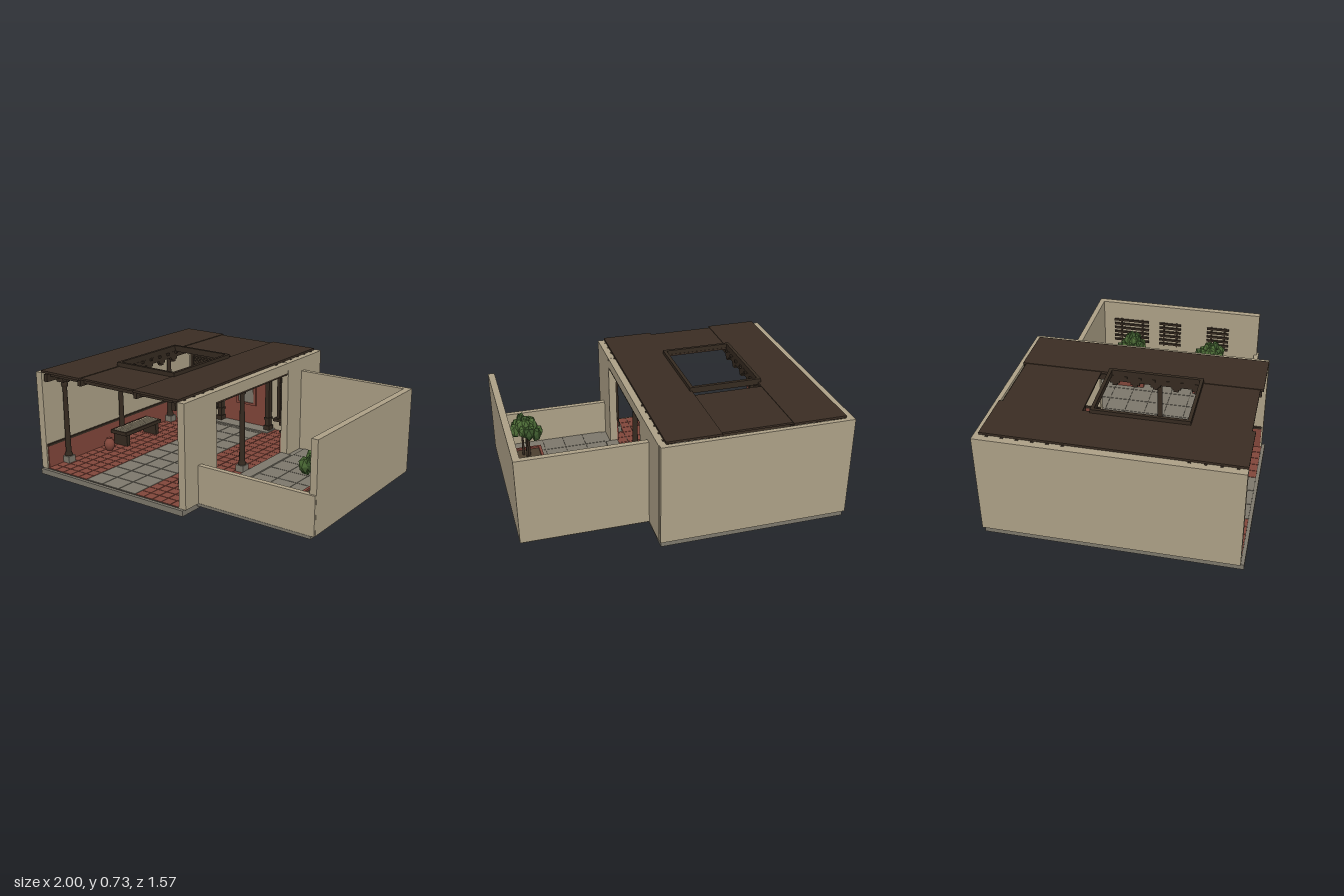
import * as THREE from 'three';
import { mergeGeometries } from 'three/addons/utils/BufferGeometryUtils.js';

const mat = (name, color, flat = false) => {
  const m = new THREE.MeshStandardMaterial({ color, flatShading: flat });
  m.name = name;
  return m;
};

// Box geometry from its limits
const boxGeo = (x0, x1, y0, y1, z0, z1) =>
  new THREE.BoxGeometry(x1 - x0, y1 - y0, z1 - z0).translate((x0 + x1) / 2, (y0 + y1) / 2, (z0 + z1) / 2);

export function createModel() {
  const root = new THREE.Group();
  root.name = 'courtyardHouse';
  const plaster = mat('plaster', 0xaca086);
  const wood = mat('darkWood', 0x352a20);
  const roofing = mat('roofing', 0x3a2d23);
  const terracotta = mat('terracotta', 0x81463a);
  const stone = mat('stone', 0x7c776b);
  const grout = mat('grout', 0x504b42);
  const screenBack = mat('screenShade', 0x4c4030);
  const leaf = mat('leaf', 0x4b6a35, true);
  const leafDark = mat('darkLeaf', 0x3a552b, true);

  const add = (name, material, geos, parent = root) => {
    const mesh = new THREE.Mesh(Array.isArray(geos) ? mergeGeometries(geos) : geos, material);
    mesh.name = name;
    parent.add(mesh);
    return mesh;
  };
  const box = (name, material, ...lim) => add(name, material, boxGeo(...lim));

  // Foundations
  box('houseBase', stone, -0.99, 0.195, 0, 0.036, -0.773, 0.785);
  box('courtyardBase', stone, 0.195, 0.98, 0.02, 0.038, -0.533, 0.645);

  // Tiled floors: a grout sheet with thin tiles on it
  const tiles = (name, material, x0, x1, z0, z1, nx, nz, gap) => {
    box(name + 'Grout', grout, x0, x1, 0.034, 0.04, z0, z1);
    const geos = [];
    const w = (x1 - x0) / nx, d = (z1 - z0) / nz;
    for (let i = 0; i < nx; i++)
      for (let j = 0; j < nz; j++)
        geos.push(boxGeo(x0 + i * w + gap, x0 + (i + 1) * w - gap, 0.039, 0.043, z0 + j * d + gap, z0 + (j + 1) * d - gap));
    add(name + 'Tiles', material, geos);
  };
  tiles('leftAisle', terracotta, -0.95, -0.6, -0.755, 0.765, 5, 22, 0.002);
  tiles('centralAisle', stone, -0.6, -0.19, -0.755, 0.765, 3, 11, 0.003);
  tiles('rightAisle', terracotta, -0.19, 0.155, -0.755, 0.765, 5, 22, 0.002);
  tiles('courtyard', stone, 0.24, 0.955, -0.52, 0.61, 5, 8, 0.002);
  box('threshold', stone, 0.155, 0.24, 0.036, 0.05, -0.35, 0.455);

  // House walls; the side wall has a wide opening to the courtyard
  box('backWall', plaster, -1, 0.2, 0.036, 0.69, -0.785, -0.755);
  box('closedSideWall', plaster, -1, -0.95, 0.036, 0.69, -0.755, 0.765);
  box('openSideWallFront', plaster, 0.155, 0.205, 0.036, 0.69, 0.455, 0.765);
  box('openSideWallBack', plaster, 0.155, 0.205, 0.036, 0.69, -0.755, -0.35);
  box('openingLintel', plaster, 0.156, 0.204, 0.622, 0.689, -0.35, 0.455);
  box('openingBeam', wood, 0.16, 0.2, 0.608, 0.622, -0.35, 0.455);

  // Courtyard walls
  box('courtyardBackWall', plaster, 0.2, 1, 0.038, 0.6, -0.555, -0.52);
  box('courtyardSideWall', plaster, 0.957, 1, 0.038, 0.6, -0.52, 0.63);
  box('courtyardFrontWall', plaster, 0.2, 0.999, 0.038, 0.28, 0.61, 0.643);

  // Wainscots with a wooden rail
  const wainscot = (x, s, z0, z1) => {
    const a = Math.min(x, x + s * 0.008), b = Math.max(x, x + s * 0.008);
    const c = Math.min(x, x + s * 0.014), d = Math.max(x, x + s * 0.014);
    box('wainscot', terracotta, a, b, 0.04, 0.19, z0, z1);
    box('wainscotRail', wood, c, d, 0.19, 0.204, z0, z1);
  };
  wainscot(-0.95, 1, -0.755, 0.755);
  wainscot(0.155, -1, 0.455, 0.755);
  wainscot(0.155, -1, -0.755, -0.35);
  box('courtyardWainscot', terracotta, 0.947, 0.957, 0.04, 0.2, -0.52, 0.61);

  // Roof slabs around the skylight
  box('leftRoof', roofing, -0.953, -0.618, 0.692, 0.706, -0.755, 0.765);
  box('rightRoof', roofing, -0.177, 0.162, 0.692, 0.706, -0.755, 0.765);
  box('frontRoof', roofing, -0.618, -0.177, 0.69, 0.702, 0.375, 0.745);
  box('backRoof', roofing, -0.618, -0.177, 0.69, 0.702, -0.735, -0.245);

  // Skylight curb
  add('skylightCurb', wood, [
    boxGeo(-0.636, -0.615, 0.69, 0.73, -0.195, 0.398),
    boxGeo(-0.185, -0.163, 0.69, 0.73, -0.195, 0.398),
    boxGeo(-0.615, -0.185, 0.69, 0.73, -0.195, -0.174),
    boxGeo(-0.615, -0.185, 0.69, 0.73, 0.377, 0.398),
  ]);

  // Rafters whose ends rest in the side walls
  const rafters = [];
  for (let i = 0; i < 17; i++) {
    const z = -0.706 + i * 0.0885;
    const end = i > 5 && i < 13 ? 0.02 : 0;
    rafters.push(boxGeo(-0.963 + end, -0.6, 0.678, 0.693, z - 0.009, z + 0.009));
    rafters.push(boxGeo(-0.19, 0.17 - end, 0.678, 0.693, z - 0.009, z + 0.009));
  }
  add('rafters', wood, rafters);

  // Roof beams and stepped brackets beneath the skylight
  const beams = [boxGeo(-0.95, 0.155, 0.664, 0.69, 0.7, 0.725), boxGeo(-0.95, 0.155, 0.664, 0.69, -0.5, -0.475)];
  for (const x of [-0.627, -0.17]) beams.push(boxGeo(x - 0.013, x + 0.013, 0.652, 0.692, -0.75, 0.755));
  for (const x of [-0.925, 0.12]) beams.push(boxGeo(x - 0.014, x + 0.014, 0.632, 0.68, -0.75, 0.755));
  for (const x of [-0.627, -0.17])
    for (let k = 0; k < 5; k++) {
      const z = -0.16 + k * 0.13;
      beams.push(boxGeo(x - 0.012, x + 0.012, 0.635, 0.655, z - 0.03, z + 0.03));
      beams.push(boxGeo(x - 0.012, x + 0.012, 0.62, 0.636, z - 0.015, z + 0.015));
    }
  add('roofBeams', wood, beams);

  // Side columns on stone blocks, with capitals and diagonal braces
  const lathe = (pts) => new THREE.LatheGeometry(pts.map((p) => new THREE.Vector2(...p)), 12);
  const shaft = [[0, 0.08], [0.026, 0.08], [0.026, 0.1], [0.019, 0.115], [0.017, 0.35], [0.015, 0.56],
    [0.022, 0.57], [0.022, 0.585], [0.016, 0.595], [0.016, 0.61], [0, 0.61]];
  for (const [x, s] of [[-0.92, 1], [0.124, -1]])
    for (const z of [0.6, 0.07, -0.47]) {
      box('columnBlock', stone, x - 0.03, x + 0.03, 0.04, 0.088, z - 0.03, z + 0.03);
      add('sideColumn', wood, lathe(shaft).translate(x, 0, z));
      box('columnCapital', wood, x - 0.028, x + 0.028, 0.605, 0.634, z - 0.04, z + 0.04);
      const brace = add('columnBrace', wood, new THREE.BoxGeometry(0.07, 0.013, 0.013));
      brace.position.set(x + s * 0.055, 0.628, z);
      brace.rotation.z = s * 0.75;
    }

  // Central alcove on the back wall
  box('alcovePanel', terracotta, -0.6, -0.19, 0.04, 0.6, -0.756, -0.745);
  box('alcoveStep', stone, -0.65, -0.145, 0.04, 0.052, -0.75, -0.64);
  add('alcoveCornice', wood, [
    boxGeo(-0.62, -0.17, 0.585, 0.61, -0.755, -0.68),
    boxGeo(-0.645, -0.15, 0.605, 0.63, -0.755, -0.67),
    boxGeo(-0.675, -0.12, 0.63, 0.645, -0.755, -0.655),
    boxGeo(-0.63, -0.16, 0.645, 0.672, -0.755, -0.67),
  ]);
  for (const x of [-0.612, -0.18])
    add('alcoveColumn', wood, [
      boxGeo(x - 0.024, x + 0.024, 0.05, 0.085, -0.735, -0.68),
      boxGeo(x - 0.017, x + 0.017, 0.085, 0.56, -0.728, -0.69),
      boxGeo(x - 0.023, x + 0.023, 0.13, 0.145, -0.733, -0.683),
      boxGeo(x - 0.024, x + 0.024, 0.54, 0.59, -0.735, -0.68),
    ]);
  add('pictureFrame', terracotta, [
    boxGeo(-0.482, -0.466, 0.2, 0.457, -0.746, -0.73), boxGeo(-0.326, -0.31, 0.2, 0.457, -0.746, -0.73),
    boxGeo(-0.466, -0.326, 0.2, 0.216, -0.746, -0.73), boxGeo(-0.466, -0.326, 0.441, 0.457, -0.746, -0.73),
  ]);
  box('picturePanel', stone, -0.466, -0.326, 0.216, 0.441, -0.746, -0.739);
  const disc = (name, m, x, y, rx, ry) =>
    add(name, m, new THREE.CircleGeometry(1, 16).scale(rx, ry, 1).translate(x, y, -0.736));
  disc('picturePaleShape', plaster, -0.388, 0.335, 0.016, 0.036);
  disc('pictureDarkShape', wood, -0.332, 0.322, 0.008, 0.04);

  // Arched lattice screens
  const screen = (cx) => {
    const g = new THREE.Group();
    g.name = 'latticeScreen';
    g.position.set(cx, 0, -0.755);
    root.add(g);
    const w = 0.2, y0 = 0.145, h = 0.36;
    add('screenBacking', screenBack, boxGeo(-0.115, 0.115, 0.14, 0.595, 0, 0.007), g);
    const bars = [];
    for (let c = -h; c < w; c += 0.029) {
      const a = Math.max(c, 0), b = Math.min(c + h, w);
      if (b - a < 0.006) continue;
      for (const s of [1, -1])
        bars.push(new THREE.BoxGeometry((b - a) * Math.SQRT2, 0.007, 0.006).rotateZ((s * Math.PI) / 4)
          .translate(s * ((a + b) / 2 - w / 2), y0 + (a + b) / 2 - c, 0.012));
    }
    add('lattice', wood, bars, g);
    const arch = [new THREE.TorusGeometry(0.098, 0.009, 6, 20, Math.PI).translate(0, 0.515, 0.012)];
    for (let k = 1; k < 8; k++)
      arch.push(boxGeo(0.02, 0.1, -0.003, 0.003, -0.004, 0.004).rotateZ((k * Math.PI) / 8).translate(0, 0.515, 0.012));
    add('fanlight', wood, arch, g);
    add('screenFrame', wood, [
      boxGeo(-0.123, -0.098, 0.13, 0.6, 0, 0.025), boxGeo(0.098, 0.123, 0.13, 0.6, 0, 0.025),
      boxGeo(-0.1, 0.1, 0.505, 0.522, 0, 0.022), boxGeo(-0.13, 0.13, 0.59, 0.603, 0, 0.028),
      boxGeo(-0.142, 0.142, 0.122, 0.142, 0, 0.045),
      boxGeo(-0.1, -0.08, 0.092, 0.122, 0, 0.03), boxGeo(0.08, 0.1, 0.092, 0.122, 0, 0.03),
    ], g);
  };
  screen(-0.797);
  screen(0.003);

  // Slatted bench and clay jar
  const bench = [boxGeo(-0.925, -0.91, 0.125, 0.15, -0.2, 0.18), boxGeo(-0.8, -0.785, 0.125, 0.15, -0.2, 0.18)];
  for (const z of [-0.18, 0.13]) bench.push(boxGeo(-0.915, -0.795, 0.04, 0.13, z, z + 0.03));
  for (const z of [-0.2, 0.165]) bench.push(boxGeo(-0.91, -0.8, 0.125, 0.15, z, z + 0.015));
  add('benchFrame', wood, bench);
  const slats = [];
  for (let i = 0; i < 5; i++) slats.push(boxGeo(-0.905 + i * 0.021, -0.892 + i * 0.021, 0.137, 0.152, -0.19, 0.17));
  add('benchSlats', plaster, slats);
  add('clayJar', terracotta, lathe([[0, 0.043], [0.02, 0.043], [0.034, 0.065], [0.038, 0.088], [0.032, 0.112],
    [0.018, 0.124], [0.021, 0.132], [0.013, 0.132], [0, 0.12]]).translate(-0.85, 0, 0.28));

  // Wall trellises in the courtyard
  for (const [z, half] of [[-0.31, 0.13], [-0.02, 0.08], [0.335, 0.08]]) {
    const t = [-0.6, 0.6].map((s) => boxGeo(0.947, 0.957, 0.28, 0.475, z + s * half - 0.006, z + s * half + 0.006));
    for (let i = 0; i < 6; i++) t.push(boxGeo(0.938, 0.949, 0.295 + i * 0.033, 0.31 + i * 0.033, z - half, z + half));
    add('trellis', wood, t);
  }

  // Planters with bushy shrubs
  let seed = 7;
  const rnd = () => (seed = (seed * 16807) % 2147483647) / 2147483647;
  for (const z of [-0.278, 0.308]) {
    const x = 0.815, r = 0.107;
    add('planter', terracotta, [
      boxGeo(x - r, x - r + 0.018, 0.04, 0.12, z - r, z + r), boxGeo(x + r - 0.018, x + r, 0.04, 0.12, z - r, z + r),
      boxGeo(x - r, x + r, 0.04, 0.12, z - r, z - r + 0.018), boxGeo(x - r, x + r, 0.04, 0.12, z + r - 0.018, z + r),
    ]);
    box('planterSoil', screenBack, x - 0.09, x + 0.09, 0.04, 0.108, z - 0.09, z + 0.09);
    const light = [], dark = [], stems = [];
    for (let i = 0; i < 18; i++) {
      const a = i * 2.4, d = 0.021 * Math.sqrt(i), s = 0.03 + rnd() * 0.008;
      const px = x + d * Math.cos(a), pz = z + d * Math.sin(a);
      const py = 0.39 - d * 0.9 + (rnd() - 0.5) * 0.05 + (px - x) * 0.3;
      (i % 3 ? light : dark).push(new THREE.IcosahedronGeometry(s, 0).scale(1, 1.5, 1).rotateY(a).rotateX((rnd() - 0.5) * 0.5).translate(px, py, pz));
      if (i < 4) stems.push(new THREE.CylinderGeometry(0.006, 0.009, 0.26, 6).translate(px, 0.23, pz));
    }
    add('shrubLeaves', leaf, light);
    add('shrubDarkLeaves', leafDark, dark);
    add('shrubStems', wood, stems);
  }
  return root;
}
